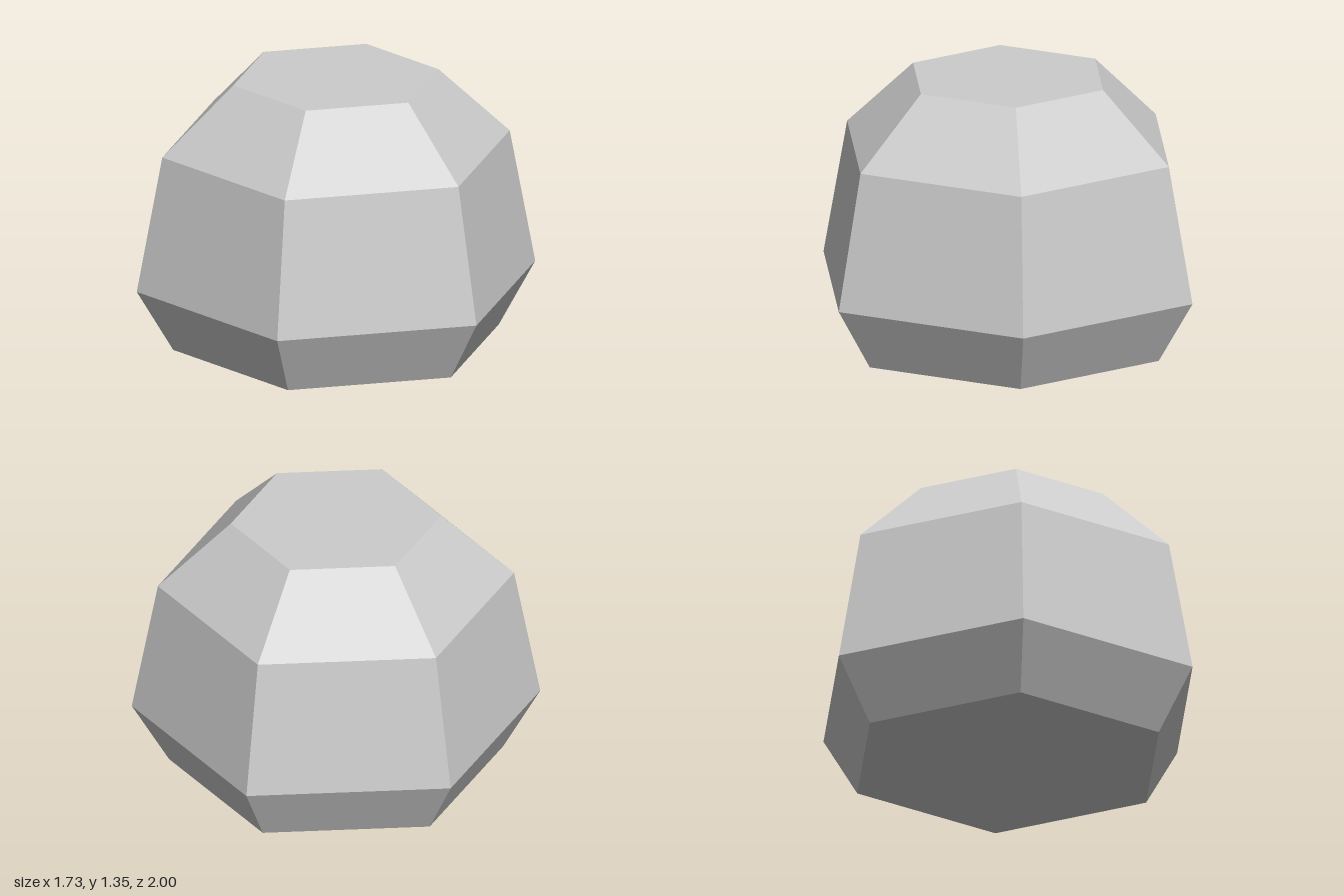
import * as THREE from 'three';

export function createModel() {
  const stone = new THREE.MeshStandardMaterial({ color: 0xcccccc, flatShading: true });
  stone.name = 'paleGrey';

  // Radius and height of each hexagonal ring, closed at both ends
  const profile = [
    [0, 0],
    [0.817, 0],
    [1, 0.315],
    [0.872, 1],
    [0.515, 1.345],
    [0, 1.345],
  ].map(([r, y]) => new THREE.Vector2(r, y));

  // Six-sided faceted body with corners on the z axis
  const geometry = new THREE.LatheGeometry(profile, 6).toNonIndexed();
  geometry.computeVertexNormals();

  const body = new THREE.Mesh(geometry, stone);
  body.name = 'facetedStone';

  const model = new THREE.Group();
  model.name = 'hexagonalStone';
  model.add(body);
  return model;
}
